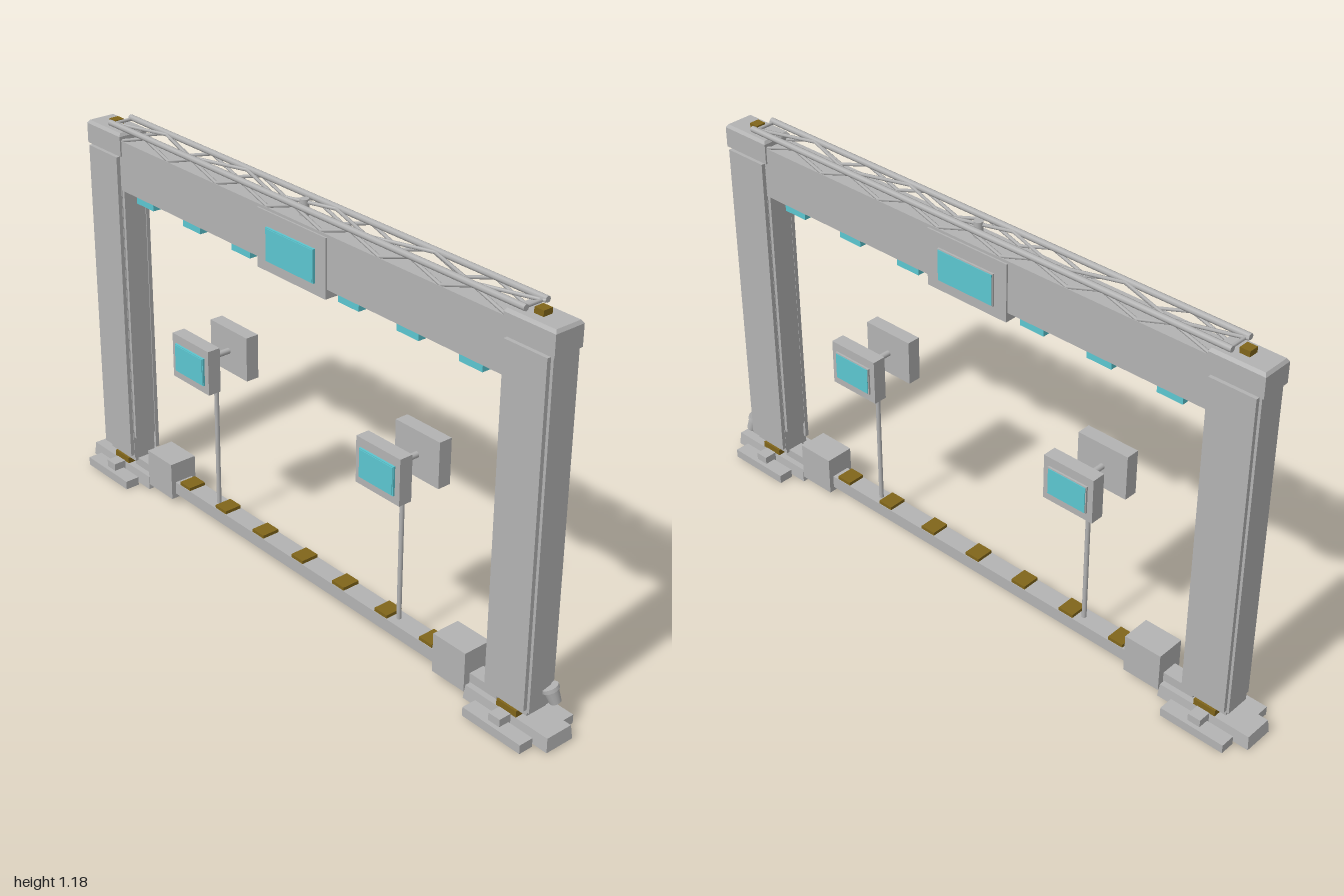
import * as THREE from 'three';

const mat = (name, color) => {
  const m = new THREE.MeshStandardMaterial({ color });
  m.name = name;
  return m;
};

export function createModel() {
  const gray = mat('light gray', 0xb3b3b3);
  const cyan = mat('screen cyan', 0x5cc6d0);
  const brass = mat('dark brass', 0x80651a);
  const root = new THREE.Group();
  root.name = 'scannerGate';

  // box from min/max ranges
  const box = (name, m, [x0, x1], [y0, y1], [z0, z1], parent = root) => {
    const mesh = new THREE.Mesh(new THREE.BoxGeometry(x1 - x0, y1 - y0, z1 - z0), m);
    mesh.position.set((x0 + x1) / 2, (y0 + y1) / 2, (z0 + z1) / 2);
    mesh.name = name;
    parent.add(mesh);
    return mesh;
  };
  // box with its top face pulled in by a bevel
  const bevelled = (name, m, xr, yr, zr, inset, parent) => {
    const mesh = box(name, m, xr, yr, zr, parent);
    const p = mesh.geometry.attributes.position;
    for (let i = 0; i < p.count; i++) {
      if (p.getY(i) > 0) {
        p.setX(i, p.getX(i) - Math.sign(p.getX(i)) * inset);
        p.setZ(i, p.getZ(i) - Math.sign(p.getZ(i)) * inset);
      }
    }
    mesh.geometry.computeVertexNormals();
    return mesh;
  };
  // round bar between two points
  const bar = (name, a, b, r, sides = 8, parent = root, r2 = r) => {
    const va = new THREE.Vector3(...a), vb = new THREE.Vector3(...b);
    const dir = vb.clone().sub(va);
    const mesh = new THREE.Mesh(new THREE.CylinderGeometry(r2, r, dir.length(), sides), gray);
    mesh.position.copy(va).add(vb).multiplyScalar(0.5);
    mesh.quaternion.setFromUnitVectors(new THREE.Vector3(0, 1, 0), dir.normalize());
    mesh.name = name;
    parent.add(mesh);
    return mesh;
  };
  // range mirrored to either side
  const flip = (s, a, b) => (s > 0 ? [a, b] : [-b, -a]);
  const sym = (h) => [-h, h];

  for (const s of [1, -1]) {
    const post = new THREE.Group();
    post.name = s > 0 ? 'frontPost' : 'backPost';
    root.add(post);

    // foot with outrigger pads
    bevelled('foot', gray, sym(0.047), [0.004, 0.045], flip(s, 0.7, 1), 0.004, post);
    for (const t of [1, -1]) {
      box('footPad', gray, flip(t, 0.052, 0.098), [0, 0.027], flip(s, 0.75, 0.955), post);
      box('padClamp', gray, flip(t, 0.045, 0.085), [0.02, 0.05], flip(s, 0.83, 0.87), post);
    }
    box('swivelPlate', brass, sym(0.042), [0.045, 0.064], flip(s, 0.815, 0.885), post);
    box('postCollar', gray, sym(0.035), [0.064, 0.08], flip(s, 0.785, 0.915), post);

    // column: core, side panels and inner strip
    box('postCore', gray, sym(0.038), [0.078, 1.085], flip(s, 0.785, 0.925), post);
    for (const t of [1, -1]) {
      box('postSidePanel', gray, flip(t, 0.042, 0.054), [0.09, 1.08], flip(s, 0.781, 0.92), post);
      box('panelSpacer', gray, flip(t, 0.036, 0.043), [0.1, 1.08], flip(s, 0.8, 0.9), post);
    }
    box('innerStrip', gray, sym(0.036), [0.15, 1.08], flip(s, 0.775, 0.79), post);

    // bevelled cap and its latch
    box('postCap', gray, sym(0.047), [1.083, 1.143], flip(s, 0.77, 0.935), post);
    bevelled('postCapTop', gray, sym(0.047), [1.143, 1.152], flip(s, 0.77, 0.935), 0.006, post);
    box('capLatch', brass, sym(0.015), [1.15, 1.168], flip(s, 0.835, 0.865), post);

    // lower drive box and its link to the foot
    box('driveBox', gray, sym(0.045), [0.022, 0.142], flip(s, 0.58, 0.7), root);
    box('driveLink', gray, sym(0.025), [0.04, 0.072], flip(s, 0.69, 0.8), root);
  }

  // small tilted nozzle on the front post
  bar('nozzle', [0.04, 0.088, 0.942], [0.032, 0.125, 0.93], 0.016, 14, root, 0.021);
  bar('nozzleRim', [0.032, 0.123, 0.93], [0.03, 0.133, 0.926], 0.025, 14);

  // lower beam with floor pads
  box('lowerBeam', gray, sym(0.03), [0.036, 0.076], sym(0.585));
  for (let i = -3; i <= 3; i++) {
    box('floorPad', brass, sym(0.028), [0.075, 0.086], [i * 0.178 - 0.025, i * 0.178 + 0.025]);
  }

  // upper beam with hanging lights
  box('upperBeam', gray, sym(0.042), [0.977, 1.13], sym(0.78));
  for (const s of [1, -1]) {
    for (const z of [0.222, 0.444, 0.666]) {
      box('hangingLight', cyan, sym(0.04), [0.957, 0.978], [s * z - 0.04, s * z + 0.04]);
    }
  }

  // a screen: raised plate on one side with a cyan face
  const screen = (t, x, yr, zr) => {
    box('screenPlate', t > 0 ? gray : cyan, flip(t, x, x + 0.006), yr, zr);
    box('screenFace', cyan, flip(t, x + 0.006, x + 0.008),
      [yr[0] + 0.003, yr[1] - 0.003], [zr[0] + 0.003, zr[1] - 0.003]);
  };

  // central display on the upper beam
  box('centreDisplay', gray, sym(0.047), [0.95, 1.122], sym(0.14));
  for (const t of [1, -1]) screen(t, 0.047, [0.982, 1.079], sym(0.098));

  // two pole-mounted double displays
  for (const s of [1, -1]) {
    const z = s * 0.4;
    bar('displayPole', [0, 0.07, z], [0, 0.58, z], 0.007, 12);
    bar('displayArm', [-0.05, 0.57, z], [0.05, 0.57, z], 0.009, 12);
    for (const t of [1, -1]) {
      box('displayCase', gray, flip(t, 0.048, 0.09), [0.502, 0.64], [z - 0.084, z + 0.084]);
      screen(t, 0.09, [0.527, 0.613], [z - 0.066, z + 0.066]);
    }
  }

  // roof truss: two rails, side lacing and flat lacing
  const railX = 0.036, railY = 1.169, half = 0.83;
  for (const t of [1, -1]) {
    bar('trussRail', [t * railX, railY, -half], [t * railX, railY, half], 0.009, 8);
    const n = 14, step = 1.54 / n;
    for (let i = 0; i < n; i++) {
      const y = (k) => (k % 2 ? 1.166 : 1.13);
      bar('sideLacing', [t * railX, y(i), -0.77 + i * step],
        [t * railX, y(i + 1), -0.77 + (i + 1) * step], 0.005, 6);
    }
  }
  for (let i = 0; i < 9; i++) {
    const x = (k) => (k % 2 ? 0.03 : -0.03);
    const z = (k) => -half + (k * 2 * half) / 9;
    bar('flatLacing', [x(i), 1.167, z(i)], [x(i + 1), 1.167, z(i + 1)], 0.005, 6);
  }
  for (const z of [-0.82, 0.82]) bar('trussCrossbar', [-railX, 1.167, z], [railX, 1.167, z], 0.005, 6);
  bar('trussPin', [0, 1.125, 0], [0, 1.176, 0], 0.013, 12);

  return root;
}
